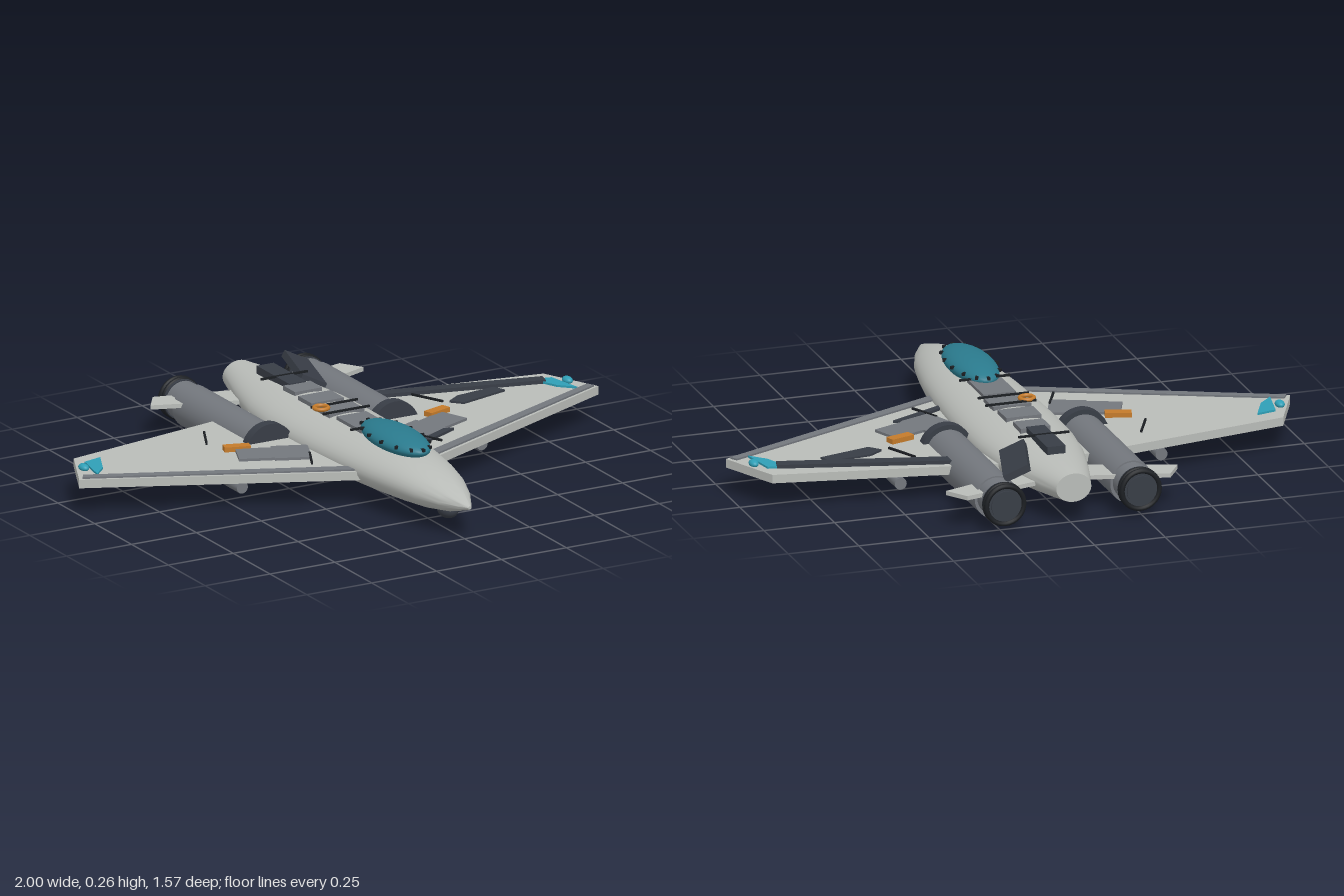
import * as THREE from 'three';
import { toCreasedNormals } from 'three/addons/utils/BufferGeometryUtils.js';

const material = (name, color) => Object.assign(new THREE.MeshStandardMaterial({ color }), { name });

export function createModel() {
  const root = new THREE.Group();
  root.name = 'aircraft';
  const hull = material('light hull grey', 0xb9bcb8);
  const grey = material('mid grey', 0x73777d);
  const dark = material('dark slate', 0x383d46);
  const black = material('near black', 0x1b1e22);
  const glass = material('canopy teal', 0x2a7a8d);
  const teal = material('bright teal', 0x2f9fb6);
  const orange = material('orange', 0xc47b2b);

  const add = (name, geometry, mat, x = 0, y = 0, z = 0) => {
    const mesh = new THREE.Mesh(geometry, mat);
    mesh.name = name;
    mesh.position.set(x, y, z);
    root.add(mesh);
    return mesh;
  };
  const box = (name, w, h, d, mat, x, y, z, yaw = 0) => {
    const mesh = add(name, new THREE.BoxGeometry(w, h, d), mat, x, y, z);
    mesh.rotation.y = yaw;
    return mesh;
  };
  // Flat plate from an [x, z] outline, side = -1 mirrors it
  const plate = (name, outline, y, thickness, mat, side = 1) => {
    const shape = new THREE.Shape(outline.map(([x, z]) => new THREE.Vector2(x * side, -z)));
    const geometry = new THREE.ExtrudeGeometry(shape, { depth: thickness, bevelEnabled: false });
    return add(name, geometry.rotateX(-Math.PI / 2), mat, 0, y, 0);
  };
  const tube = (name, rFront, rBack, zFront, zBack, mat, x, y) => add(name,
    new THREE.CylinderGeometry(rFront, rBack, zFront - zBack, 32).rotateX(Math.PI / 2),
    mat, x, y, (zFront + zBack) / 2);
  const ellipsoid = (name, rx, ry, rz, mat, x, y, z) =>
    add(name, new THREE.SphereGeometry(1, 32, 20).scale(rx, ry, rz), mat, x, y, z);
  // Thin rod lying flat between two [x, z] points
  const rod = (name, a, b, y) => {
    const dx = b[0] - a[0], dz = b[1] - a[1];
    return box(name, 0.007, 0.007, Math.hypot(dx, dz), black,
      (a[0] + b[0]) / 2, y, (a[1] + b[1]) / 2, Math.atan2(dx, dz));
  };

  // Fuselage stations: z, half width, top, bottom
  const stations = [
    [0.785, 0.006, 0.126, 0.114], [0.75, 0.026, 0.14, 0.101], [0.68, 0.062, 0.163, 0.079],
    [0.58, 0.098, 0.187, 0.062], [0.47, 0.122, 0.203, 0.052], [0.35, 0.142, 0.21, 0.045],
    [0.2, 0.157, 0.213, 0.039], [0, 0.169, 0.212, 0.034], [-0.15, 0.173, 0.211, 0.033],
    [-0.3, 0.17, 0.209, 0.035], [-0.45, 0.152, 0.203, 0.043], [-0.6, 0.116, 0.195, 0.058],
    [-0.7, 0.088, 0.19, 0.071], [-0.785, 0.062, 0.184, 0.084],
  ];
  const body = new THREE.CylinderGeometry(1, 1, 1, 40, stations.length - 1).rotateX(Math.PI / 2);
  const p = body.attributes.position;
  for (let i = 0; i < p.count; i++) {
    const [z, w, top, bottom] = stations[Math.round((0.5 - p.getZ(i)) * (stations.length - 1))];
    p.setXYZ(i, p.getX(i) * w, (top + bottom) / 2 + p.getY(i) * (top - bottom) / 2, z);
  }
  add('fuselage', toCreasedNormals(body, 0.7), hull);
  ellipsoid('noseSensor', 0.034, 0.032, 0.045, dark, 0, 0.075, 0.635);

  // Canopy with a ring of fasteners
  ellipsoid('canopy', 0.08, 0.04, 0.193, glass, 0, 0.221, 0.282);
  for (let i = 0; i < 14; i++) {
    const a = ((i + 0.5) / 14) * Math.PI * 2;
    box('canopyFastener', 0.02, 0.01, 0.01, black,
      Math.cos(a) * 0.077, 0.231, 0.282 + Math.sin(a) * 0.182, -a);
  }

  // Spine panels, ridge and cross rods
  for (const [w, z0, z1] of [[0.115, 0.15, -0.02], [0.135, -0.05, -0.15], [0.125, -0.18, -0.27], [0.105, -0.31, -0.39]])
    box('spinePanel', w, 0.018, z0 - z1, grey, 0, 0.209, (z0 + z1) / 2);
  box('spineRidge', 0.065, 0.028, 0.22, dark, 0, 0.208, -0.495);
  for (const [z, half] of [[0.135, 0.09], [-0.055, 0.09], [-0.135, 0.09], [-0.475, 0.09]])
    rod('spineRod', [-half, z], [half, z], 0.221);
  add('spineRing', new THREE.TorusGeometry(0.024, 0.007, 10, 28).rotateX(Math.PI / 2), orange, -0.065, 0.224, -0.11);

  for (const s of [1, -1]) {
    // Wing with leading edge strip
    plate('wing', [[0.1, 0.302], [1, -0.105], [0.905, -0.31], [0.1, -0.458]], 0.095, 0.03, hull, s);
    plate('leadingEdgeStrip', [[0.14, 0.272], [0.985, -0.108], [0.97, -0.132], [0.14, 0.232]], 0.122, 0.009, grey, s);

    // Wing top fittings
    const yaw = -s * -0.39;
    box('wingPanelOuter', 0.125, 0.012, 0.11, grey, s * 0.36, 0.128, -0.035, yaw);
    box('wingPanelInner', 0.125, 0.012, 0.13, grey, s * 0.247, 0.128, 0.008, yaw);
    box('wingLatch', 0.09, 0.02, 0.035, orange, s * 0.386, 0.132, -0.118, s * 0.3);
    rod('wingRod', [s * 0.4, -0.315], [s * 0.455, -0.2], 0.134);
    rod('wingRod', [s * 0.2, 0.05], [s * 0.25, 0.155], 0.134);
    plate('tipMarking', [[0.9, -0.245], [0.83, -0.262], [0.875, -0.165], [0.925, -0.115]], 0.122, 0.01, teal, s);
    ellipsoid('tipLight', 0.016, 0.013, 0.024, teal, s * 0.932, 0.132, -0.195);

    // Engine: intake, casing, nozzle
    const x = s * 0.24, y = 0.093;
    tube('intakeRing', 0.092, 0.092, -0.145, -0.182, dark, x, y);
    tube('engineCasing', 0.075, 0.075, -0.18, -0.68, grey, x, y);
    tube('nozzle', 0.066, 0.066, -0.68, -0.757, grey, x, 0.097);
    tube('nozzleCollar', 0.07, 0.07, -0.74, -0.778, dark, x, 0.097);
    for (const z of [-0.757, -0.776])
      add('nozzleRim', new THREE.TorusGeometry(0.066, 0.009, 10, 32), black, x, 0.097, z);
    tube('exhaustDisc', 0.05, 0.05, -0.776, -0.783, dark, x, 0.097);

    // Tailplane and underwing pod
    plate('tailplane', [[0.07, -0.54], [0.41, -0.66], [0.36, -0.735], [0.07, -0.66]], 0.113, 0.015, hull, s);
    tube('underwingPod', 0.021, 0.021, 0.055, -0.345, grey, s * 0.462, 0.055);
  }

  // Repairs carried on the left side only
  plate('trailingStrip', [[0.3, -0.4], [0.87, -0.255], [0.86, -0.215], [0.3, -0.355]], 0.12, 0.018, dark);
  plate('wingPatch', [[0.48, -0.2], [0.53, -0.235], [0.68, -0.255], [0.7, -0.21], [0.515, -0.162]], 0.122, 0.01, dark);
  plate('rootPatch', [[0.14, 0.14], [0.32, 0.045], [0.35, 0.06], [0.14, 0.165]], 0.122, 0.012, dark);
  const slab = box('tailSlab', 0.092, 0.025, 0.265, dark, 0.142, 0.182, -0.59);
  slab.rotation.set(0, -0.28, -0.45, 'YXZ');

  return root;
}
